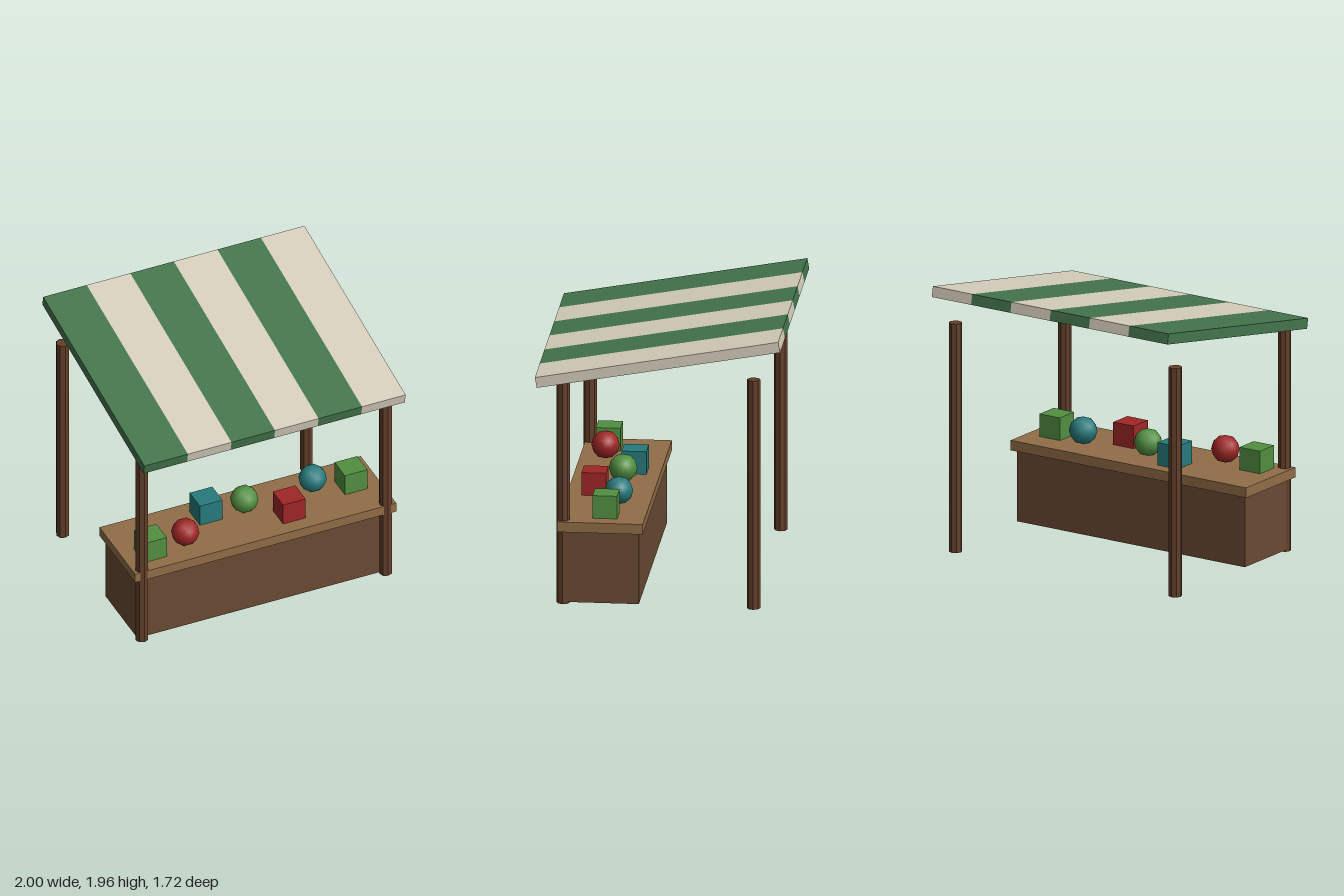
import * as THREE from 'three';

const mat = (name, color) => {
  const m = new THREE.MeshStandardMaterial({ color });
  m.name = name;
  return m;
};

export function createModel() {
  const postWood = mat('post wood', 0x633f29);
  const panelWood = mat('panel wood', 0x6a4a33);
  const topWood = mat('counter top wood', 0x916d47);
  const awningGreen = mat('awning green', 0x44754c);
  const cream = mat('awning cream', 0xd6cfbc);
  const red = mat('red', 0xa02626);
  const green = mat('green', 0x528f41);
  const teal = mat('teal', 0x277a7d);

  const stall = new THREE.Group();
  stall.name = 'marketStall';
  const add = (parent, name, geometry, material, x, y, z) => {
    const mesh = new THREE.Mesh(geometry, material);
    mesh.name = name;
    mesh.position.set(x, y, z);
    parent.add(mesh);
    return mesh;
  };

  // Counter: panelled base with an overhanging top
  add(stall, 'counterBase', new THREE.BoxGeometry(1.933, 0.52, 0.533), panelWood, 0, 0.273, 0.4);
  add(stall, 'counterTop', new THREE.BoxGeometry(2, 0.073, 0.6), topWood, 0, 0.568, 0.403);

  // Four eight-sided posts
  const postGeometry = new THREE.CylinderGeometry(0.047, 0.047, 1.667, 8).toNonIndexed();
  postGeometry.computeVertexNormals();
  for (const [depth, z] of [['front', 0.667], ['back', -0.667]]) {
    for (const [side, x] of [['Left', 0.933], ['Right', -0.933]]) {
      add(stall, `${depth}${side}Post`, postGeometry, postWood, x, 0.8335, z);
    }
  }

  // Sloping awning made of six alternating strips
  const awning = new THREE.Group();
  awning.name = 'awning';
  awning.position.y = 1.771;
  awning.rotation.x = 0.18;
  stall.add(awning);
  const stripGeometry = new THREE.BoxGeometry(1 / 3, 0.076, 1.733);
  for (let i = 0; i < 6; i++) {
    add(awning, `awningStrip${i + 1}`, stripGeometry, i % 2 ? cream : awningGreen, -5 / 6 + i / 3, 0, 0);
  }

  // Goods: crates and faceted balls alternating along the counter
  const crate = new THREE.BoxGeometry(0.173, 0.173, 0.173);
  const ball = new THREE.IcosahedronGeometry(0.1, 1);
  const goods = [
    [green, 0.52], [red, 0.52], [teal, 0.285], [green, 0.342],
    [red, 0.512], [teal, 0.318], [green, 0.38],
  ];
  goods.forEach(([material, z], i) => {
    const x = (i - 3) * 0.2667;
    if (i % 2) add(stall, `fruit${i + 1}`, ball, material, x, 0.705, z);
    else add(stall, `crate${i + 1}`, crate, material, x, 0.683, z);
  });

  return stall;
}
